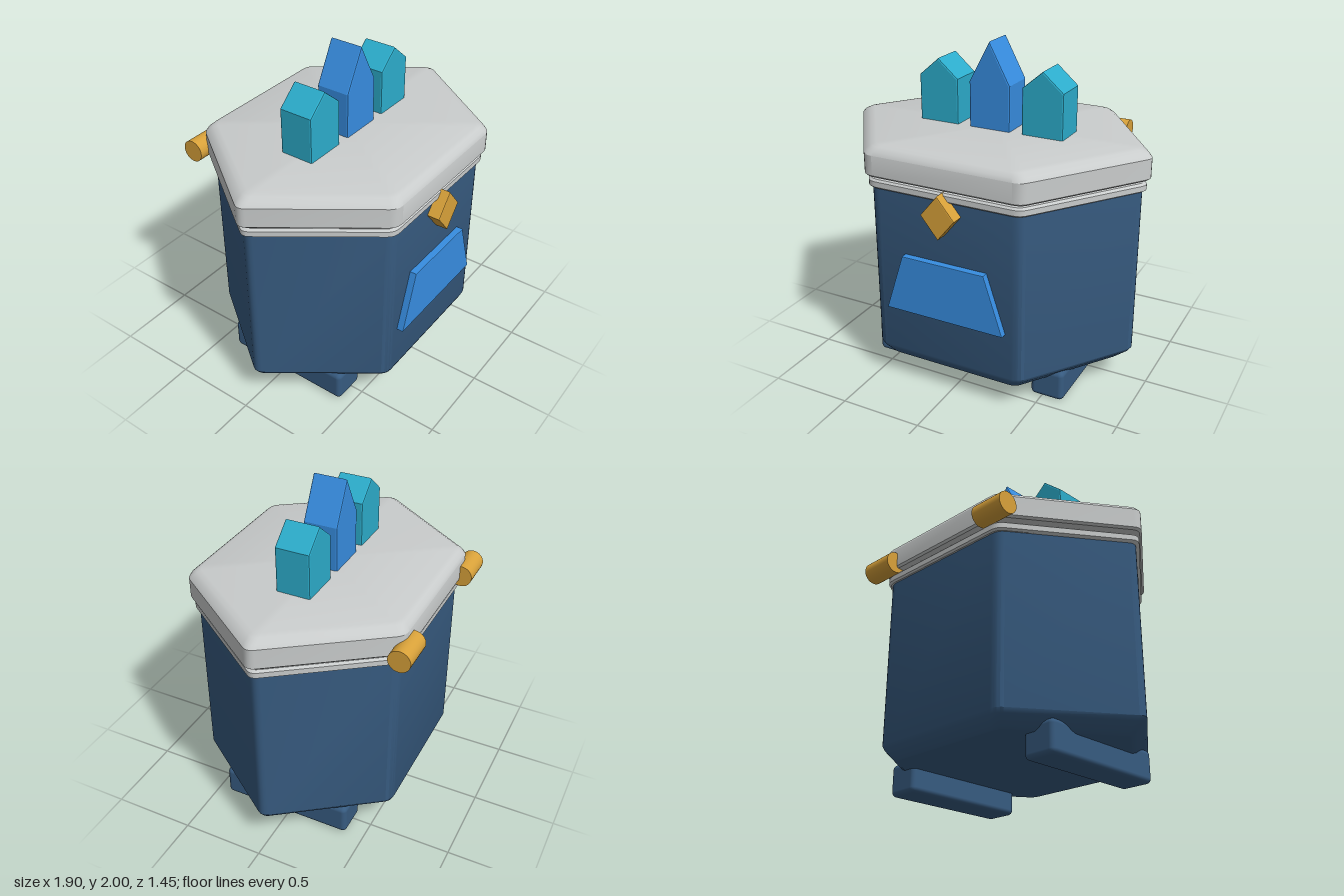
import * as THREE from 'three';
import { toCreasedNormals } from 'three/addons/utils/BufferGeometryUtils.js';
import { RoundedBoxGeometry } from 'three/addons/geometries/RoundedBoxGeometry.js';

const CENTER_Z = 0.02;

function material(name, color) {
  const m = new THREE.MeshStandardMaterial({ color });
  m.name = name;
  return m;
}

// One stretched hexagon outline with slightly rounded corners, at height y
function hexRing(halfX, halfZ, y, round = 0.05) {
  const c = halfX * 0.5;
  const corners = [[halfX, 0], [c, halfZ], [-c, halfZ], [-halfX, 0], [-c, -halfZ], [c, -halfZ]]
    .map(([x, z]) => new THREE.Vector3(x, y, z));
  const ring = [];
  corners.forEach((p, i) => {
    const toward = (q) => p.clone().lerp(q, round);
    const curve = new THREE.QuadraticBezierCurve3(
      toward(corners[(i + 5) % 6]), p, toward(corners[(i + 1) % 6]));
    ring.push(...curve.getPoints(4));
  });
  return ring;
}

// Closed solid through a stack of hexagons; each level is [y, halfX, halfZ]
function hexSolid(levels) {
  const first = levels[0], last = levels[levels.length - 1];
  const rings = [[first[0], 0, 0], ...levels, [last[0], 0, 0]]
    .map(([y, hx, hz]) => hexRing(hx, hz, y));
  const pos = [];
  const add = (...pts) => pts.forEach((p) => pos.push(p.x, p.y, p.z));
  for (let r = 0; r < rings.length - 1; r++) {
    const n = rings[r].length;
    for (let i = 0; i < n; i++) {
      const j = (i + 1) % n;
      const a = rings[r][i], b = rings[r + 1][i], c = rings[r + 1][j], d = rings[r][j];
      if (r > 0) add(a, b, d);
      if (r < rings.length - 2) add(b, c, d);
    }
  }
  const g = new THREE.BufferGeometry();
  g.setAttribute('position', new THREE.Float32BufferAttribute(pos, 3));
  return toCreasedNormals(g, 0.5);
}

// Extruded outline between two depths with a fine bevel
function plate(points, z0, z1, bevel) {
  const shape = new THREE.Shape(points.map(([x, y]) => new THREE.Vector2(x, y)));
  const g = new THREE.ExtrudeGeometry(shape, {
    depth: z1 - z0 - 2 * bevel, bevelEnabled: true, bevelThickness: bevel,
    bevelSize: bevel, bevelOffset: -bevel, bevelSegments: 2,
  });
  g.translate(0, 0, z0 + bevel);
  return g;
}

export function createModel() {
  const model = new THREE.Group();
  model.name = 'hexagonalChest';
  const navy = material('navy', 0x375b80);
  const grey = material('lightGrey', 0xc9cccc);
  const gold = material('gold', 0xd9a23a);
  const blue = material('blue', 0x378de0);
  const teal = material('teal', 0x2cadcc);

  const add = (name, geometry, mat, x = 0, y = 0, z = 0) => {
    const mesh = new THREE.Mesh(geometry, mat);
    mesh.name = name;
    mesh.position.set(x, y, z);
    model.add(mesh);
    return mesh;
  };

  // Body, rim and floating lid
  add('body', hexSolid([
    [0.135, 0.80, 0.565], [0.145, 0.825, 0.58], [0.2, 0.895, 0.622], [0.225, 0.914, 0.632], [1.25, 0.914, 0.632],
  ]), navy, 0, 0, CENTER_Z);
  add('rim', hexSolid([
    [1.238, 0.92, 0.642], [1.248, 0.938, 0.653], [1.28, 0.938, 0.653], [1.292, 0.92, 0.642],
  ]), grey, 0, 0, CENTER_Z);
  add('lid', hexSolid([
    [1.31, 0.945, 0.66], [1.322, 0.96, 0.672], [1.44, 0.96, 0.672],
    [1.462, 0.94, 0.66], [1.482, 0.90, 0.638], [1.49, 0.865, 0.615],
  ]), grey, 0, 0, CENTER_Z);

  // Pointed blocks on the lid
  const gable = (half, eave, peak) => plate(
    [[-half, 1.47], [half, 1.47], [half, eave], [0, peak], [-half, eave]], -0.087, 0.122, 0.01);
  add('centerSpire', gable(0.13, 1.76, 2.0), blue);
  for (const s of [-1, 1]) {
    const side = s > 0 ? 'left' : 'right';
    add(side + 'Spire', gable(0.128, 1.76, 1.87), teal, s * 0.333);

    // Hinge barrels at the back
    const hinge = new THREE.CylinderGeometry(0.066, 0.066, 0.215, 32);
    hinge.rotateZ(Math.PI / 2);
    add(side + 'Hinge', hinge, gold, s * 0.474, 1.342, -0.66);

    // Long skid feet
    add(side + 'Foot', new RoundedBoxGeometry(0.206, 0.19, 0.82, 3, 0.03), navy, s * 0.532, 0.1, CENTER_Z);
  }

  // Front clasp and front panel
  add('clasp', plate([[0, 1.035], [0.106, 1.165], [0, 1.293], [-0.106, 1.165]], 0.63, 0.727, 0.006), gold);
  add('frontPanel', plate([[-0.375, 0.51], [0.375, 0.51], [0.26, 0.863], [-0.26, 0.863]], 0.63, 0.693, 0.004), blue);

  // Rest the feet on the ground
  model.children.forEach((m) => { if (m.name.endsWith('Foot')) m.position.y = 0.095; });
  return model;
}
